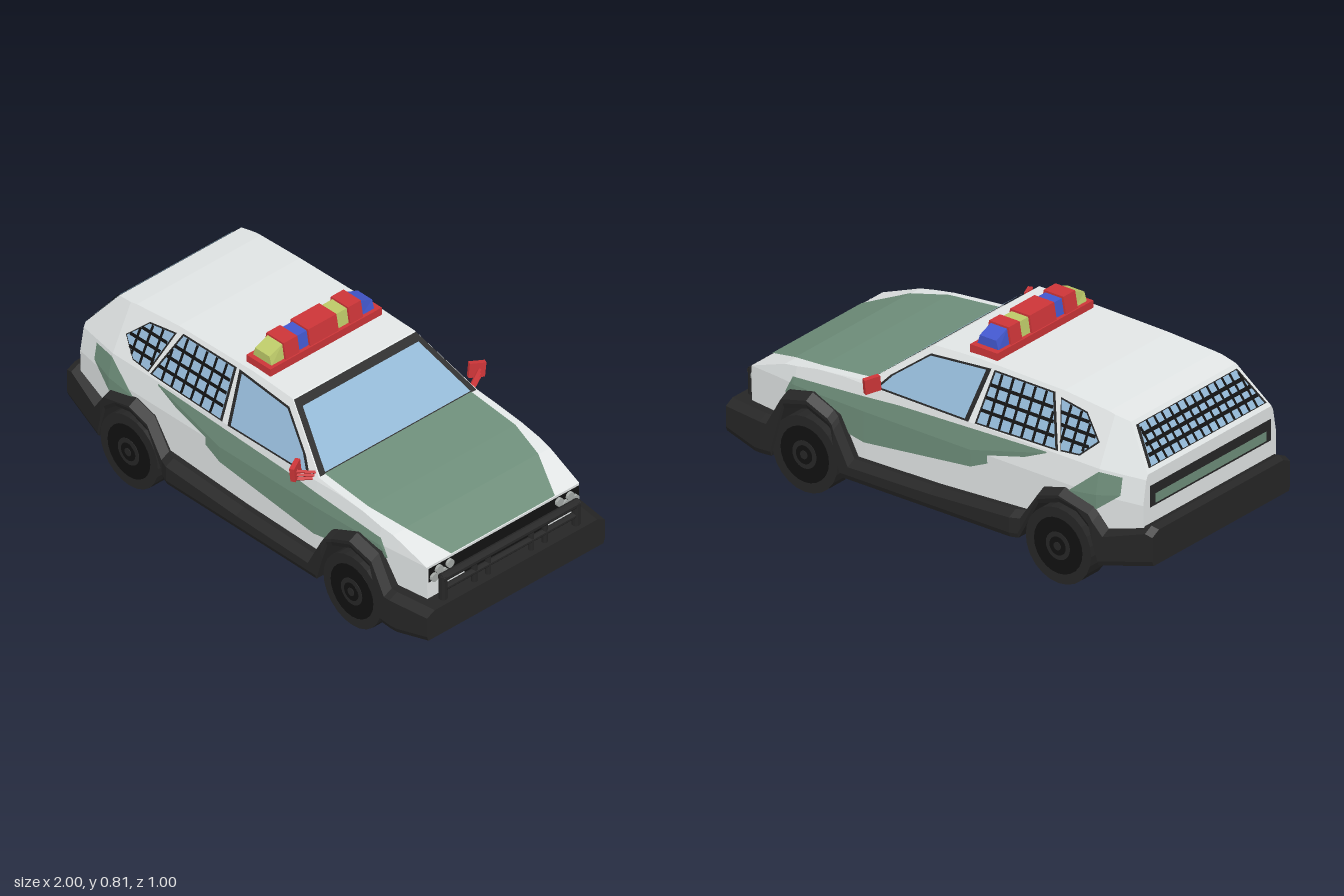
import * as THREE from 'three';

const mat = (color) => new THREE.MeshStandardMaterial({ color, flatShading: true, side: THREE.DoubleSide });
const WHITE = mat(0xe2e6e6), GREEN = mat(0x6f8f7b), GLASS = mat(0x93b8d6), BLACK = mat(0x262626),
  DARK = mat(0x111111), RED = mat(0xcc3538), BLUE = mat(0x4257cc), YELLOW = mat(0xbcc968), LAMP = mat(0xa4a9a6);

// Piecewise linear lookup, and the sorted keys of several tables
function at(table, x) {
  if (x <= table[0][0]) return table[0][1];
  for (let i = 1; i < table.length; i++) {
    const [a, p] = table[i - 1], [b, q] = table[i];
    if (x <= b) return p + (q - p) * (x - a) / (b - a);
  }
  return table[table.length - 1][1];
}
const keys = (...tables) => [...new Set(tables.flat().map((p) => p[0]))].sort((a, b) => a - b);
const clamp = THREE.MathUtils.clamp;

function mesh(name, geometry, material, parent, pos = [0, 0, 0]) {
  const m = new THREE.Mesh(geometry, material);
  m.name = name;
  m.position.set(...pos);
  parent.add(m);
  return m;
}

function fromTriangles(points) {
  const g = new THREE.BufferGeometry().setFromPoints(points);
  g.computeVertexNormals();
  return g;
}

// Skin over cross-sections ordered along +x; closed ones get a floor and end caps
function loft(sections, closed) {
  const out = [], n = sections[0].length;
  const quad = (a, b, c, d) => out.push(a, b, c, a, c, d);
  for (let i = 0; i + 1 < sections.length; i++) {
    const s = sections[i], t = sections[i + 1];
    for (let j = 0; j < (closed ? n : n - 1); j++) {
      const k = (j + 1) % n;
      quad(s[j], t[j], t[k], s[k]);
    }
  }
  if (closed) {
    const s = sections[0], t = sections[sections.length - 1];
    for (let j = 0; j < n / 2 - 1; j++) {
      quad(s[j], s[j + 1], s[n - 2 - j], s[n - 1 - j]);
      quad(t[j], t[n - 1 - j], t[n - 2 - j], t[j + 1]);
    }
  }
  return fromTriangles(out);
}
const V = (x, y, z) => new THREE.Vector3(x, y, z);
const symmetric = (half) => [...half, ...half.map((p) => V(p.x, p.y, -p.z)).reverse()];

// Silhouettes along the length of the car
const ROOF = [[-0.945, 0.52], [-0.82, 0.68], [-0.72, 0.695], [-0.5, 0.71], [-0.1, 0.715], [0.12, 0.705],
  [0.36, 0.515], [0.6, 0.49], [0.76, 0.46], [0.93, 0.395]];
const TAPER = [[-0.945, -0.035], [-0.75, 0], [0.36, 0], [0.7, -0.01], [0.93, -0.04]];
const FLANK = [[0.15, 0.425], [0.4, 0.43], [0.5, 0.412], [0.71, 0.31]];
const TRIM_TOP = [[-1, 0.31], [-0.97, 0.32], [-0.8, 0.27], [-0.74, 0.35], [-0.6, 0.385], [-0.5, 0.355], [-0.42, 0.235],
  [0, 0.21], [0.39, 0.2], [0.47, 0.35], [0.6, 0.405], [0.72, 0.375], [0.79, 0.25], [1, 0.25]];
const TRIM_LOW = [[-1, 0.17], [-0.78, 0.125], [-0.74, 0.27], [-0.68, 0.32], [-0.6, 0.335], [-0.5, 0.3], [-0.41, 0.13],
  [0.43, 0.125], [0.48, 0.3], [0.6, 0.35], [0.71, 0.32], [0.77, 0.1], [0.85, 0.095], [1, 0.125]];
const TRIM_WIDE = [[-1, 0.41], [-0.76, 0.468], [-0.42, 0.475], [-0.38, 0.49], [0.46, 0.49], [0.5, 0.475],
  [0.82, 0.478], [1, 0.455]];
const halfWidth = (x, y) => at(FLANK, y) + at(TAPER, x);

// Surfaces for flat panels: (u, v, lift) to a point
const onSide = (x, y, d) => V(x, y + d * 0.44, halfWidth(x, y) + d * 0.9);
const onShield = (z, t, d) => V(0.36 - 0.24 * t + 0.62 * d, 0.515 + 0.19 * t + 0.78 * d, z);
const onHatch = (z, y, d) => V(-0.82 - (0.68 - y) * 0.78 - 0.8 * d, y + 0.6 * d, z);
const onTail = (z, y, d) => V(-0.945 - d, y, z);
const onNose = (z, y, d) => V(0.93 + d, y, z);

function panel(name, poly, surface, lift, material, parent) {
  const flat = new THREE.ShapeGeometry(new THREE.Shape(poly.map((p) => new THREE.Vector2(...p)))).toNonIndexed();
  const p = flat.attributes.position, pts = [];
  for (let i = 0; i < p.count; i++) pts.push(surface(p.getX(i), p.getY(i), lift));
  return mesh(name, fromTriangles(pts), material, parent);
}

// Protective grid clipped to a convex pane
function grille(name, poly, surface, gaps, parent) {
  const tris = [], w = 0.006;
  for (const k of [0, 1]) {
    const lo = Math.min(...poly.map((p) => p[k])), hi = Math.max(...poly.map((p) => p[k]));
    const count = Math.round((hi - lo) / gaps[k]);
    for (let i = 1; i < count; i++) {
      const c = lo + (hi - lo) * i / count, hits = [];
      poly.forEach((a, j) => {
        const b = poly[(j + 1) % poly.length];
        if ((a[k] < c) !== (b[k] < c)) hits.push(a[1 - k] + (b[1 - k] - a[1 - k]) * (c - a[k]) / (b[k] - a[k]));
      });
      if (hits.length < 2) continue;
      const [s, e] = hits.sort((a, b) => a - b);
      const q = [[c - w, s], [c + w, s], [c + w, e], [c - w, e]]
        .map(([m, l]) => (k ? surface(l, m, 0.009) : surface(m, l, 0.009)));
      if (k) q.reverse();
      tris.push(q[0], q[1], q[2], q[0], q[2], q[3]);
    }
  }
  mesh(name, fromTriangles(tris), DARK, parent);
}

// Black surround with an inset pane
function pane(name, poly, surface, inset, parent, gaps) {
  const cu = poly.reduce((s, p) => s + p[0], 0) / poly.length, cv = poly.reduce((s, p) => s + p[1], 0) / poly.length;
  const inner = poly.map(([u, v]) => [cu + (u - cu) * inset, cv + (v - cv) * inset]);
  panel(name + 'Frame', poly, surface, 0.003, BLACK, parent);
  panel(name + 'Glass', inner, surface, 0.006, GLASS, parent);
  if (gaps) grille(name + 'Grid', inner, surface, gaps, parent);
}

function sideStripe(name, low, high, parent) {
  const xs = keys(low, high, TAPER).filter((x) => x >= low[0][0] && x <= low[low.length - 1][0]);
  mesh(name, loft(xs.map((x) => {
    const lo = at(low, x), hi = Math.max(lo, at(high, x));
    return [lo, clamp(0.4, lo, hi), hi].map((y) => V(x, y, halfWidth(x, y) + 0.004));
  }), false), GREEN, parent);
}

function buildSide(side) {
  sideStripe('frontSideStripe', [[-0.5, 0.49], [-0.15, 0.33], [0.36, 0.27], [0.42, 0.28], [0.745, 0.355]],
    [[-0.5, 0.495], [0.2, 0.47], [0.71, 0.43], [0.745, 0.36]], side);
  sideStripe('rearSideStripe', [[-0.85, 0.42], [-0.75, 0.34], [-0.62, 0.37]],
    [[-0.85, 0.49], [-0.75, 0.49], [-0.62, 0.38]], side);
  pane('frontDoorWindow', [[-0.125, 0.5], [0.32, 0.502], [0.27, 0.56], [0.12, 0.675], [-0.16, 0.695]], onSide, 0.92, side);
  pane('rearDoorWindow', [[-0.55, 0.51], [-0.155, 0.502], [-0.175, 0.695], [-0.465, 0.695]], onSide, 0.94, side, [0.055, 0.044]);
  pane('quarterWindow', [[-0.72, 0.585], [-0.65, 0.52], [-0.56, 0.512], [-0.495, 0.685], [-0.63, 0.668]],
    onSide, 0.93, side, [0.05, 0.044]);

  // Wing mirror on its struts
  const head = mesh('mirrorHead', new THREE.BoxGeometry(0.02, 0.062, 0.065), RED, side, [0.295, 0.545, 0.464]);
  head.rotation.set(0.12, 0.45, 0);
  for (const dy of [0, 0.018, 0.036]) {
    const arm = new THREE.LineCurve3(V(0.335, 0.495 + dy * 0.8, 0.4), V(0.3, 0.515 + dy, 0.48));
    mesh('mirrorStrut', new THREE.TubeGeometry(arm, 1, 0.007, 4), RED, side);
  }

  // Wheels with recessed-looking rims
  for (const x of [-0.6, 0.61]) {
    const wheel = new THREE.Group();
    wheel.name = x > 0 ? 'frontWheel' : 'rearWheel';
    wheel.position.set(x, 0.157, 0.42);
    side.add(wheel);
    const disc = (name, r, depth, m) => {
      mesh(name, new THREE.CylinderGeometry(r, r, depth, 24), m, wheel).rotation.x = Math.PI / 2;
    };
    disc('tyre', 0.156, 0.1, BLACK);
    disc('rim', 0.115, 0.104, DARK);
    disc('hubRing', 0.057, 0.108, BLACK);
    disc('hub', 0.038, 0.112, DARK);
    disc('hubCap', 0.017, 0.116, BLACK);
  }

  // Twin headlamps
  for (const [z, y] of [[0.335, 0.367], [0.28, 0.367], [0.36, 0.342], [0.31, 0.342]])
    mesh('headlamp', new THREE.CylinderGeometry(0.018, 0.018, 0.02, 12), LAMP, side, [0.935, y, z]).rotation.z = Math.PI / 2;
}

function buildLightBar(parent) {
  mesh('lightBarBase', new THREE.BoxGeometry(0.13, 0.036, 0.57), RED, parent, [-0.095, 0.727, 0]);
  const parts = [[0.265, 0.2, YELLOW, 1], [0.2, 0.13, RED], [0.13, 0.075, BLUE], [0.075, -0.07, RED],
    [-0.07, -0.13, YELLOW], [-0.13, -0.195, RED], [-0.195, -0.26, BLUE, -1]];
  for (const [z1, z0, m, slope] of parts) {
    const red = m === RED, h = red ? 0.07 : 0.062;
    const g = new THREE.BoxGeometry(red ? 0.12 : 0.1, h, z1 - z0), p = g.attributes.position;
    for (let i = 0; i < p.count; i++) {
      if (p.getY(i) < 0) continue;
      p.setX(i, p.getX(i) * 0.78);
      if (slope && p.getZ(i) * slope > 0) p.setY(i, p.getY(i) - 0.025);
    }
    g.computeVertexNormals();
    mesh('beacon', g, m, parent, [-0.095, 0.744 + h / 2, (z0 + z1) / 2]);
  }
}

function buildBullBar(parent) {
  const bar = (a, b, r) => mesh('bullBarTube', new THREE.TubeGeometry(new THREE.LineCurve3(a, b), 1, r, 10), BLACK, parent);
  for (const [y, r] of [[0.345, 0.018], [0.295, 0.013], [0.23, 0.014]]) bar(V(0.965, y, -0.35), V(0.965, y, 0.35), r);
  for (const z of [0.18, 0.11, 0.34]) for (const s of [1, -1])
    bar(V(0.965, 0.2, z * s), V(0.965, z > 0.3 ? 0.355 : 0.335, z * s), z > 0.3 ? 0.017 : 0.012);
}

export function createModel() {
  const car = new THREE.Group();
  car.name = 'patrolCar';

  // Painted shell
  const xs = keys(ROOF, TAPER, TRIM_TOP).filter((x) => x >= -0.945 && x <= 0.93);
  mesh('body', loft(xs.map((x) => {
    const top = at(ROOF, x), low = at(TRIM_TOP, x) - 0.03;
    return symmetric([low, clamp(0.4, low, top), clamp(0.5, low, top), top].map((y) => V(x, y, halfWidth(x, y))));
  }), true), WHITE, car);

  // Black lower trim with wheel arches, bumpers and floor
  mesh('lowerTrim', loft(keys(TRIM_TOP, TRIM_LOW, TRIM_WIDE).map((x) => {
    const hi = at(TRIM_TOP, x), lo = at(TRIM_LOW, x), w = at(TRIM_WIDE, x);
    return symmetric([V(x, lo, w - 0.008), V(x, lo + 0.02, w), V(x, hi - 0.02, w), V(x, hi, w - 0.04)]);
  }), true), BLACK, car);

  // Hood paint
  const hood = [[0.36, 0.375], [0.6, 0.375], [0.76, 0.34], [0.93, 0.265]];
  mesh('hoodPaint', loft(hood.map(([x, w]) => [V(x, at(ROOF, x) + 0.004, w), V(x, at(ROOF, x) + 0.004, -w)]), false), GREEN, car);

  // Windscreen, rear window and end panels
  panel('windscreenFrame', [[-0.4, 0], [0.4, 0], [0.312, 0.98], [-0.312, 0.98]], onShield, 0.003, BLACK, car);
  panel('windscreen', [[-0.372, 0.02], [0.372, 0.02], [0.296, 0.86], [-0.296, 0.86]], onShield, 0.006, GLASS, car);
  pane('rearWindow', [[-0.35, 0.535], [0.35, 0.535], [0.3, 0.665], [-0.3, 0.665]], onHatch, 0.96, car, [0.046, 0.032]);
  const rect = (w, y0, y1) => [[-w, y0], [w, y0], [w, y1], [-w, y1]];
  panel('tailPanel', rect(0.36, 0.38, 0.47), onTail, 0.003, BLACK, car);
  panel('tailStripe', rect(0.33, 0.39, 0.43), onTail, 0.006, GREEN, car);
  panel('grillePanel', rect(0.385, 0.325, 0.388), onNose, 0.003, DARK, car);
  panel('lowerGrille', rect(0.2, 0.25, 0.3), onNose, 0.003, DARK, car);

  // Mirrored parts
  for (const s of [1, -1]) {
    const side = new THREE.Group();
    side.name = s > 0 ? 'leftSideParts' : 'rightSideParts';
    buildSide(side);
    side.scale.z = s;
    car.add(side);
  }
  buildLightBar(car);
  buildBullBar(car);
  return car;
}
